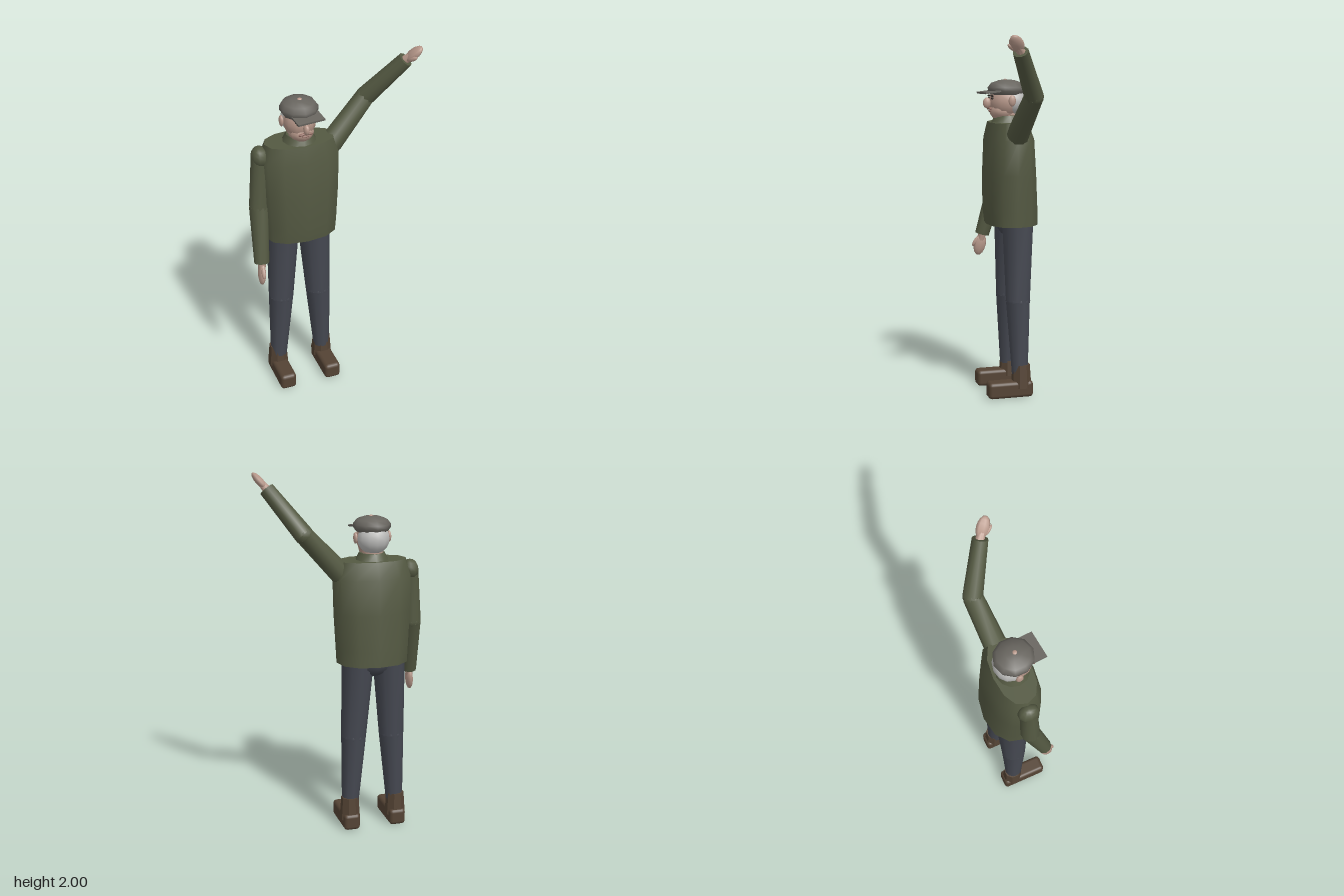
import * as THREE from 'three';
import { RoundedBoxGeometry } from 'three/addons/geometries/RoundedBoxGeometry.js';
import { toCreasedNormals } from 'three/addons/utils/BufferGeometryUtils.js';

const CX = -0.165; // body centre line
const mat = (color) => new THREE.MeshStandardMaterial({ color });
const M = {
  sweater: mat(0x545942), trousers: mat(0x454851), boot: mat(0x544334), skin: mat(0xb8998b),
  cap: mat(0x68655f), hair: mat(0xbcbcba), dark: mat(0x2e2925), lip: mat(0x8f6a60),
};
const V = (x, y, z) => new THREE.Vector3(x, y, z);

export function createModel() {
  const model = new THREE.Group();

  const add = (name, geo, material, pos = V(0, 0, 0), parent = model) => {
    const mesh = new THREE.Mesh(geo, material);
    mesh.name = name;
    mesh.position.copy(pos);
    parent.add(mesh);
    return mesh;
  };
  const ball = (name, material, pos, rx, ry, rz, w = 12, h = 8, parent = model) => {
    const mesh = add(name, new THREE.SphereGeometry(1, w, h), material, pos, parent);
    mesh.scale.set(rx, ry, rz);
    return mesh;
  };
  // Tapered limb from a to b
  const limb = (name, material, a, b, ra, rb, parent = model) => {
    const dir = b.clone().sub(a);
    const geo = toCreasedNormals(new THREE.CylinderGeometry(rb, ra, dir.length(), 10), 0.9);
    const mesh = add(name, geo, material, a.clone().lerp(b, 0.5), parent);
    mesh.quaternion.setFromUnitVectors(V(0, 1, 0), dir.normalize());
    return mesh;
  };

  // Sweater body: a 12-sided tube shaped by rows of [y, half width, front z, back z], top first
  const rows = [
    [1.53, 0.19, 0.105, -0.1], [1.44, 0.222, 0.125, -0.133], [1.25, 0.217, 0.135, -0.147],
    [1.05, 0.205, 0.136, -0.158], [0.965, 0.2, 0.125, -0.16],
  ];
  const torso = new THREE.CylinderGeometry(1, 1, 1, 12, rows.length - 1);
  const p = torso.attributes.position;
  const bulge = (v) => Math.sign(v) * Math.abs(v) ** 0.88;
  for (let i = 0; i < p.count; i++) {
    const [y, w, front, back] = rows[Math.round((0.5 - p.getY(i)) * (rows.length - 1))];
    const z = bulge(p.getZ(i));
    p.setXYZ(i, bulge(p.getX(i)) * w, y, z > 0 ? z * front : -z * back);
  }
  add('sweaterBody', toCreasedNormals(torso, 0.8), M.sweater, V(CX, 0, 0));

  // Rolled collar
  const collar = add('collar', new THREE.CylinderGeometry(0.07, 0.093, 0.045, 12), M.sweater, V(CX, 1.545, 0.005));
  collar.geometry = toCreasedNormals(collar.geometry, 0.9);

  // Pelvis, legs and boots
  ball('pelvis', M.trousers, V(CX, 0.975, -0.03), 0.12, 0.09, 0.1, 12, 8);
  for (const [side, s] of [['left', 1], ['right', -1]]) {
    const hip = V(CX + s * 0.088, 1.0, -0.033);
    const knee = V(CX + s * 0.11, 0.54, -0.028);
    const ankle = V(CX + s * 0.131, 0.13, -0.033);
    limb(side + 'Thigh', M.trousers, knee, hip, 0.069, 0.09);
    limb(side + 'Shin', M.trousers, ankle, knee, 0.046, 0.069);
    ball(side + 'Knee', M.trousers, knee, 0.069, 0.069, 0.069, 10, 6);
    const fx = CX + s * 0.134;
    const shaft = new THREE.CylinderGeometry(0.049, 0.058, 0.13, 8).rotateY(Math.PI / 8);
    add(side + 'BootShaft', toCreasedNormals(shaft, 0.6), M.boot, V(fx, 0.118, -0.04));
    add(side + 'BootFoot', new RoundedBoxGeometry(0.092, 0.092, 0.256, 2, 0.02), M.boot, V(fx, 0.046, 0.027));
  }

  // Arms: left raised, right hanging
  const arms = [
    ['left', V(0.015, 1.465, -0.005), V(0.22, 1.685, -0.038), V(0.39, 1.917, 0.082), V(0.452, 1.995, 0.14)],
    ['right', V(-0.38, 1.462, -0.005), V(-0.397, 1.17, 0.005), V(-0.417, 0.868, 0.088), V(-0.428, 0.745, 0.112)],
  ];
  for (const [side, shoulder, elbow, wrist, tip] of arms) {
    const arm = new THREE.Group();
    arm.name = side + 'Arm';
    model.add(arm);
    const r = side === 'left' ? 0.062 : 0.046;
    limb('upperArm', M.sweater, shoulder, elbow, r, 0.052, arm);
    limb('forearm', M.sweater, elbow, wrist, 0.052, 0.041, arm);
    ball('shoulder', M.sweater, shoulder, r, 0.058, 0.058, 10, 8, arm);
    ball('elbow', M.sweater, elbow, 0.052, 0.052, 0.052, 10, 8, arm);

    // Flat hand, broad along z, with a thumb to the front
    const hand = new THREE.Group();
    hand.name = 'hand';
    hand.position.copy(wrist);
    const up = tip.clone().sub(wrist);
    const len = up.length();
    up.normalize();
    const across = V(0, 0, 1).addScaledVector(up, -up.z).normalize();
    hand.quaternion.setFromRotationMatrix(
      new THREE.Matrix4().makeBasis(new THREE.Vector3().crossVectors(up, across), up, across));
    arm.add(hand);
    ball('palm', M.skin, V(0, len * 0.5, 0), 0.021, len * 0.52, 0.036, 8, 8, hand);
    limb('wrist', M.skin, V(0, -0.02, 0), V(0, len * 0.4, 0), 0.026, 0.018, hand);
    ball('thumb', M.skin, V(0, len * 0.4, 0.03), 0.012, 0.033, 0.012, 8, 6, hand).rotation.x = 0.35;
  }

  // Head, hair and face
  const head = new THREE.Group();
  head.name = 'head';
  head.position.set(CX, 0, 0);
  model.add(head);
  ball('skull', M.skin, V(0, 1.645, 0.012), 0.086, 0.095, 0.093, 12, 10, head);
  ball('jaw', M.skin, V(0, 1.592, 0.03), 0.069, 0.054, 0.075, 12, 8, head);
  limb('neck', M.skin, V(0, 1.5, 0), V(0, 1.6, 0), 0.06, 0.06, head);
  ball('hair', M.hair, V(0, 1.646, -0.021), 0.089, 0.084, 0.079, 12, 10, head);
  ball('nose', M.skin, V(0, 1.637, 0.118), 0.016, 0.03, 0.024, 8, 8, head);
  ball('lowerLip', M.lip, V(0, 1.592, 0.104), 0.02, 0.005, 0.006, 8, 6, head);
  for (const s of [-1, 1]) {
    ball('ear', M.skin, V(s * 0.094, 1.65, 0), 0.012, 0.031, 0.021, 8, 8, head);
    ball('eye', M.dark, V(s * 0.034, 1.662, 0.097), 0.011, 0.007, 0.007, 8, 6, head);
    ball('eyebrow', M.dark, V(s * 0.035, 1.676, 0.098), 0.02, 0.005, 0.008, 8, 6, head).rotation.z = -s * 0.15;
    ball('moustache', M.lip, V(s * 0.018, 1.606, 0.106), 0.022, 0.007, 0.008, 8, 6, head).rotation.z = -s * 0.2;
  }

  // Flat cap with peak and top button
  const profile = [[0, 1.685], [0.086, 1.682], [0.1, 1.702], [0.101, 1.722], [0.083, 1.746], [0.04, 1.761], [0, 1.764]]
    .map(([x, y]) => new THREE.Vector2(x, y));
  const crown = add('capCrown', toCreasedNormals(new THREE.LatheGeometry(profile, 10), 0.9), M.cap, V(0, 0, 0.008), head);
  crown.scale.z = 1.05;
  const peak = add('capPeak', new THREE.BoxGeometry(0.15, 0.01, 0.09), M.cap, V(0.012, 1.697, 0.11), head);
  peak.rotation.set(0.12, 0.1, 0);
  ball('capButton', M.skin, V(0.002, 1.76, 0.015), 0.014, 0.008, 0.014, 8, 6, head);

  return model;
}
